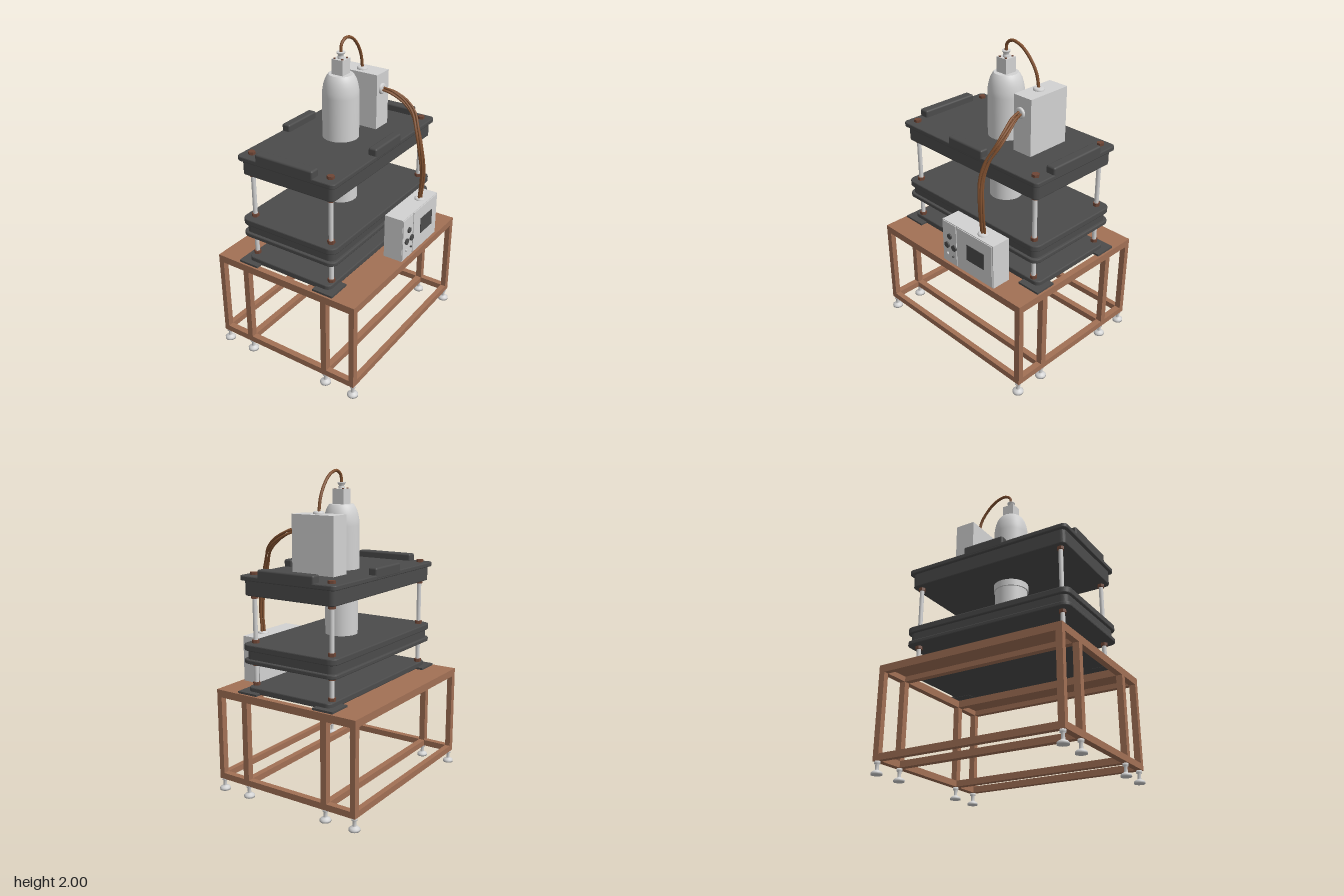
import * as THREE from 'three';
import { RoundedBoxGeometry } from 'three/addons/geometries/RoundedBoxGeometry.js';

const material = (name, color) => {
  const m = new THREE.MeshStandardMaterial({ color });
  m.name = name;
  return m;
};

export function createModel() {
  const root = new THREE.Group();
  root.name = 'hydraulicPress';
  const copper = material('frame copper', 0xa27055);
  const dark = material('platen charcoal', 0x4b4b4b);
  const light = material('casing light grey', 0xd2d2d2);
  const nutBrown = material('nut brown', 0x6e4636);
  const cableBrown = material('cable brown', 0x80502f);

  const add = (name, geo, mat, x = 0, y = 0, z = 0, parent = root) => {
    const m = new THREE.Mesh(geo, mat);
    m.name = name;
    m.position.set(x, y, z);
    parent.add(m);
    return m;
  };
  const group = (name) => {
    const g = new THREE.Group();
    g.name = name;
    root.add(g);
    return g;
  };
  // Box given by its min and max on each axis
  const box = (name, mat, x0, x1, y0, y1, z0, z1, parent) =>
    add(name, new THREE.BoxGeometry(x1 - x0, y1 - y0, z1 - z0), mat,
      (x0 + x1) / 2, (y0 + y1) / 2, (z0 + z1) / 2, parent);
  const lathe = (pts, seg = 32) =>
    new THREE.LatheGeometry(pts.map(([r, y]) => new THREE.Vector2(r, y)), seg);
  // Horizontal plate with rounded corners and softened edges
  const plate = (name, hx, hz, y0, y1, r, parent, bevel = 0.006) => {
    const a = hx - bevel, b = hz - bevel;
    const s = new THREE.Shape();
    s.moveTo(-a + r, -b);
    s.lineTo(a - r, -b);
    s.absarc(a - r, -b + r, r, -Math.PI / 2, 0);
    s.absarc(a - r, b - r, r, 0, Math.PI / 2);
    s.absarc(-a + r, b - r, r, Math.PI / 2, Math.PI);
    s.absarc(-a + r, -b + r, r, Math.PI, Math.PI * 1.5);
    const g = new THREE.ExtrudeGeometry(s, {
      depth: y1 - y0 - 2 * bevel, bevelEnabled: true, bevelSize: bevel,
      bevelThickness: bevel, bevelSegments: 2, curveSegments: 6,
    });
    g.rotateX(-Math.PI / 2);
    return add(name, g, dark, 0, y0 + bevel, 0, parent);
  };

  // Table frame: posts, long rails, cross rails and two side panels
  const table = group('table');
  const footGeo = lathe([[0, 0], [0.034, 0], [0.034, 0.012], [0.026, 0.02], [0.013, 0.026],
    [0.011, 0.03], [0.011, 0.062], [0.018, 0.064], [0.018, 0.08], [0, 0.08]], 20);
  for (const s of [-1, 1]) {
    for (const [c, h] of [[0.4925, 0.0175], [0.292, 0.02]]) {
      const x = s * c;
      for (const [y0, y1] of [[0.08, 0.12], [0.622, 0.67]]) {
        box('longRail', copper, x - h, x + h, y0, y1, -0.583, 0.583, table);
      }
      for (const t of [-1, 1]) {
        box('tablePost', copper, x - h, x + h, 0.12, 0.622, t * 0.603 - 0.02, t * 0.603 + 0.02, table);
        add('levellingFoot', footGeo, light, s * (c > 0.4 ? 0.492 : 0.29), 0, t * 0.6, table);
      }
    }
    box('sidePanel', copper, s * 0.3925 - 0.0825, s * 0.3925 + 0.0825, 0.655, 0.67, -0.583, 0.583, table);
    for (const [y0, y1] of [[0.08, 0.12], [0.622, 0.67]]) {
      box('crossRail', copper, -0.51, 0.51, y0, y1, s * 0.603 - 0.02, s * 0.603 + 0.02, table);
    }
  }

  // Base plate on four corner pads
  const base = group('base');
  plate('basePlate', 0.305, 0.572, 0.672, 0.71, 0.03, base);
  for (const s of [-1, 1]) for (const t of [-1, 1]) {
    box('cornerPad', dark, s * 0.278 - 0.07, s * 0.278 + 0.07, 0.67, 0.683,
      t * 0.533 - 0.077, t * 0.533 + 0.077, base);
  }

  // Moving platen: two flanges around a recessed core
  const platen = group('movingPlaten');
  plate('lowerFlange', 0.34, 0.58, 0.855, 0.882, 0.045, platen);
  plate('platenCore', 0.322, 0.562, 0.875, 0.945, 0.035, platen);
  plate('upperFlange', 0.34, 0.58, 0.935, 0.975, 0.045, platen);

  // Head plate with raised lugs along its edges
  const head = group('headPlate');
  plate('headBody', 0.325, 0.562, 1.27, 1.368, 0.025, head);
  plate('headFlange', 0.344, 0.582, 1.362, 1.392, 0.025, head);
  for (const s of [-1, 1]) {
    add('endLug', new RoundedBoxGeometry(0.405, 0.07, 0.066, 3, 0.012), dark, 0, 1.402, s * 0.549, head);
    add('sideLug', new RoundedBoxGeometry(0.058, 0.07, 0.287, 3, 0.012), dark, s * 0.316, 1.402, 0, head);
  }

  // Guide rods with hexagonal nuts
  const guides = group('guides');
  const rodGeo = new THREE.CylinderGeometry(0.014, 0.014, 0.7, 20);
  const nutGeo = new THREE.CylinderGeometry(0.023, 0.023, 0.02, 6).toNonIndexed();
  nutGeo.computeVertexNormals();
  for (const x of [-0.28, 0.28]) for (const z of [-0.513, 0.513]) {
    add('guideRod', rodGeo, light, x, 1.045, z, guides);
    for (const y of [0.72, 0.845, 0.985, 1.26, 1.399]) add('nut', nutGeo, nutBrown, x, y, z, guides);
  }

  // Ram below the head and domed cylinder above it
  const ram = group('ram');
  add('ramCollar', new THREE.CylinderGeometry(0.113, 0.113, 0.05, 48), light, 0, 1.252, 0, ram);
  add('ramShaft', new THREE.CylinderGeometry(0.104, 0.104, 0.27, 48), light, 0, 1.1, 0, ram);
  add('cylinderHousing', lathe([[0.113, 1.385], [0.113, 1.66], [0.111, 1.69], [0.105, 1.725],
    [0.096, 1.755], [0.084, 1.778], [0.074, 1.79]], 48), light, 0, 0, 0, ram);
  add('housingCap', new THREE.CylinderGeometry(0.074, 0.074, 0.004, 48), light, 0, 1.788, 0, ram);
  box('terminalBox', light, -0.04, 0.04, 1.788, 1.882, -0.04, 0.04, ram);
  for (const x of [-0.027, 0.027]) for (const z of [-0.025, 0.025]) {
    add('terminalScrew', new THREE.CylinderGeometry(0.007, 0.007, 0.006, 10), nutBrown, x, 1.884, z, ram);
  }

  // Cable glands
  const glandGeo = lathe([[0.02, 0], [0.02, 0.014], [0.014, 0.018], [0.026, 0.034], [0.026, 0.04], [0, 0.04]], 20);
  const flatGland = lathe([[0.034, 0], [0.034, 0.01], [0.026, 0.016], [0, 0.016]], 24);
  add('topGland', glandGeo, light, 0, 1.882, 0);
  add('boxGland', flatGland, light, -0.01, 1.745, -0.255);
  add('sideGland', flatGland, light, 0.133, 1.645, -0.252).rotation.z = -Math.PI / 2;
  add('cabinetGland', flatGland, light, 0.437, 0.962, -0.252);

  // Junction box on the head plate
  box('junctionBox', light, -0.167, 0.133, 1.39, 1.745, -0.332, -0.196);

  // Cables
  const cable = (name, pts, r) => {
    const curve = new THREE.CatmullRomCurve3(pts.map((p) => new THREE.Vector3(...p)));
    add(name, new THREE.TubeGeometry(curve, 48, r, 8), cableBrown);
  };
  cable('archCable', [[0, 1.91, 0], [0, 1.965, -0.008], [0, 1.992, -0.05], [-0.002, 1.975, -0.12],
    [-0.005, 1.92, -0.185], [-0.009, 1.84, -0.235], [-0.01, 1.75, -0.255]], 0.0095);
  const bundle = [[0.14, 1.645, -0.252], [0.2, 1.632, -0.265], [0.28, 1.585, -0.285], [0.345, 1.52, -0.285],
    [0.395, 1.43, -0.252], [0.43, 1.32, -0.237], [0.449, 1.15, -0.25], [0.438, 0.97, -0.252]];
  for (let i = 0; i < 4; i++) {
    // Each strand twists slowly around the shared path
    cable('bundleCable', bundle.map(([x, y, z], k) => {
      const a = i * Math.PI / 2 + k * 0.45;
      const o = 0.013 * Math.cos(a);
      return [x + o * 0.7, y + o * 0.7, z + 0.014 * Math.sin(a)];
    }), 0.0075);
  }

  // Control cabinet with buttons and screen facing +x
  const cabinet = group('controlCabinet');
  box('cabinetBody', light, 0.362, 0.49, 0.67, 0.965, -0.388, 0.053, cabinet);
  box('screenPanel', light, 0.489, 0.495, 0.675, 0.96, -0.38, -0.078, cabinet);
  box('buttonPanel', light, 0.489, 0.495, 0.675, 0.96, -0.07, 0.05, cabinet);
  box('screen', dark, 0.492, 0.499, 0.772, 0.88, -0.315, -0.167, cabinet);
  for (const [y, z, r, mat] of [[0.87, -0.017, 0.018, dark], [0.8, 0.009, 0.02, dark], [0.8, -0.053, 0.02, dark],
    [0.736, 0.009, 0.009, light], [0.736, -0.046, 0.006, dark]]) {
    const g = new THREE.CylinderGeometry(r, r, 0.012, 20);
    add('button', g, mat, 0.499, y, z, cabinet).rotation.z = -Math.PI / 2;
  }
  return root;
}
